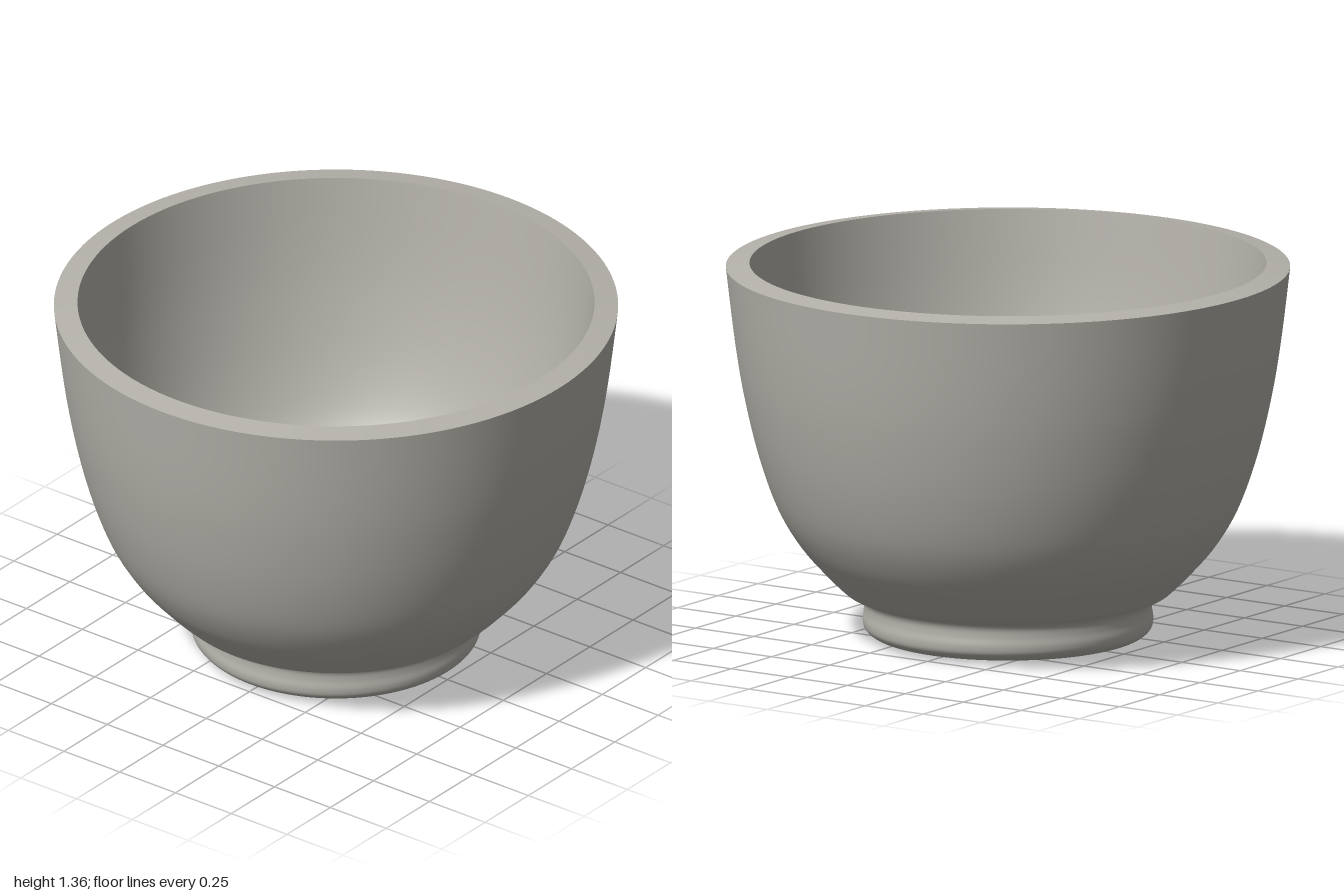
import * as THREE from 'three';

export function createModel() {
  const clay = new THREE.MeshStandardMaterial({ color: 0xb4b2aa });
  clay.name = 'warm grey clay';
  const bowl = new THREE.Group();
  bowl.name = 'bowl';

  // Revolve a run of [radius, height] points; separate runs keep the rims sharp
  const turn = (name, pts, samples = 0) => {
    let profile = pts.map(([r, y]) => new THREE.Vector2(r, y));
    if (samples) profile = new THREE.SplineCurve(profile).getPoints(samples);
    profile.forEach((p) => { p.x = Math.max(p.x, 0); });
    const mesh = new THREE.Mesh(new THREE.LatheGeometry(profile, 128), clay);
    mesh.name = name;
    bowl.add(mesh);
  };

  // Underside of the foot
  turn('base', [[0, 0], [0.2, 0.002], [0.42, 0.008]]);

  // Rounded foot ring, waist and swelling outer wall
  turn('outerWall', [
    [0.42, 0.008], [0.475, 0.017], [0.507, 0.04], [0.515, 0.07], [0.511, 0.105],
    [0.513, 0.135], [0.53, 0.157], [0.565, 0.168], [0.595, 0.19], [0.66, 0.255],
    [0.745, 0.355], [0.82, 0.485], [0.885, 0.67], [0.935, 0.88], [0.968, 1.08], [1, 1.345],
  ], 90);

  // Slightly sloping flat lip
  turn('rim', [[1, 1.345], [0.916, 1.357]]);

  // Inner wall, shoulder and recess above the foot
  turn('innerWall', [
    [0.916, 1.357], [0.886, 1.1], [0.853, 0.9], [0.803, 0.69], [0.742, 0.52],
    [0.675, 0.41], [0.6, 0.32], [0.55, 0.27], [0.52, 0.25], [0.48, 0.232],
    [0.447, 0.195], [0.431, 0.145], [0.43, 0.085],
  ], 80);

  // Flat floor inside
  turn('floor', [[0.43, 0.085], [0, 0.085]]);

  return bowl;
}
